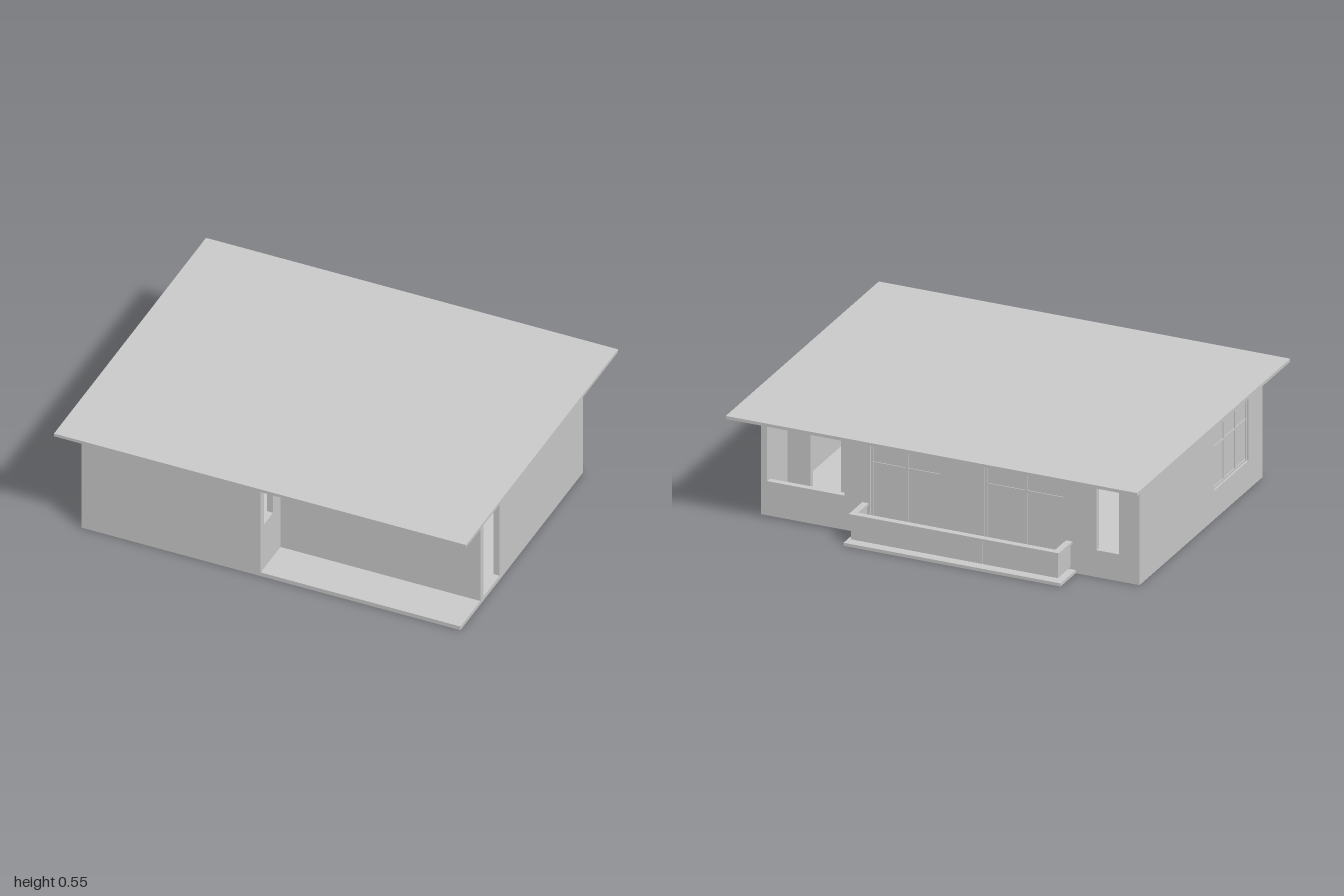
import * as THREE from 'three';

const mat = new THREE.MeshStandardMaterial({ color: 0xcccccc, flatShading: true });
const T = 0.03;                      // wall thickness
const FLOOR = 0.02, CEIL = 0.535;

// Box given by its minimum and maximum corners
function box(name, x0, x1, y0, y1, z0, z1) {
  const mesh = new THREE.Mesh(new THREE.BoxGeometry(x1 - x0, y1 - y0, z1 - z0), mat);
  mesh.position.set((x0 + x1) / 2, (y0 + y1) / 2, (z0 + z1) / 2);
  mesh.name = name;
  return mesh;
}

// Wall in its own plane: u along the wall, y up, depth 0..T; openings are [u0, u1, y0, y1]
function wall(name, u0, u1, openings = [], top = CEIL) {
  const shape = new THREE.Shape([[u0, FLOOR], [u1, FLOOR], [u1, top], [u0, top]].map(p => new THREE.Vector2(...p)));
  for (const [a, b, c, d] of openings) {
    shape.holes.push(new THREE.Path([[a, c], [a, d], [b, d], [b, c]].map(p => new THREE.Vector2(...p))));
  }
  const mesh = new THREE.Mesh(new THREE.ExtrudeGeometry(shape, { depth: T, bevelEnabled: false }), mat);
  mesh.name = name;
  const group = new THREE.Group();
  group.name = name + 'Group';
  group.add(mesh);
  return group;
}

// Glazed window filling an opening: pane, border, upright dividers and a transom
function glazing(name, [a, b, c, d], uprights, transom) {
  const g = new THREE.Group(), w = 0.006, z0 = 0.007, z1 = 0.023;
  g.name = name;
  g.add(box('pane', a, b, c, d, 0.012, 0.018));
  for (const u of [a + w, ...uprights, b - w]) g.add(box('upright', u - w, u + w, c, d, z0, z1));
  for (const y of [c + w, transom, d - w]) g.add(box('crossbar', a, b, y - w, y + w, z0 + 0.001, z1 - 0.001));
  return g;
}

export function createModel() {
  const model = new THREE.Group();
  model.name = 'house';

  // Placing walls facing front or back, by their lower z, and walls facing sideways, by their upper x
  const alongX = (w, z) => { w.position.z = z; model.add(w); };
  const alongZ = (w, x) => { w.rotation.y = -Math.PI / 2; w.position.x = x; model.add(w); };

  // Roof and floor slabs
  model.add(box('roof', -1, 1, CEIL, 0.55, -0.805, 0.805));
  model.add(box('floorSlab', -0.91, 0.93, 0, FLOOR, -0.585, 0.71));

  // Front: projecting room on the right, recessed porch on the left
  alongX(wall('frontWall', -0.91, -0.04), 0.71 - T);
  alongX(wall('porchWall', -0.04, 0.93), 0.5 - T);
  alongZ(wall('porchSideWall', 0.5, 0.71 - T, [[0.58, 0.675, 0.26, 0.44]]), -0.04);

  // Left side with an open doorway
  alongZ(wall('leftWall', -0.585, 0.5 - T, [[0.295, 0.469, FLOOR + 0.002, 0.44]]), 0.93);

  // Right side with a three-part window
  const sideOpening = [0.2, 0.56, 0.14, 0.44];
  const right = wall('rightWall', -0.585 + T, 0.71 - T, [sideOpening]);
  right.add(glazing('sideWindow', sideOpening, [0.32, 0.44], 0.34));
  alongZ(right, -0.91 + T);

  // Back wall with two balcony windows and a narrow opening
  const balconyOpenings = [[0.05, 0.4, 0.03, 0.44], [-0.55, -0.155, 0.03, 0.44]];
  const back = wall('backWall', -0.91, 0.525, [...balconyOpenings, [-0.81, -0.7, 0.13, 0.44]]);
  for (const o of balconyOpenings) back.add(glazing('balconyWindow', o, [(o[0] + o[1]) / 2], 0.345));
  alongX(back, -0.585);

  // Recessed terrace in the back left corner
  alongX(wall('terraceParapet', 0.525, 0.93 - T, [], 0.165), -0.585);
  alongX(wall('terraceWall', 0.525 - T, 0.93 - T, [[0.64, 0.79, FLOOR + 0.002, 0.44]]), -0.37);
  alongZ(wall('terraceSideWall', -0.585 + T, -0.37), 0.525);

  // Balcony: slab, raised panels and a cap rail
  const balcony = new THREE.Group();
  balcony.name = 'balcony';
  balcony.add(box('balconySlab', -0.6, 0.455, 0, 0.015, -0.745, -0.585));
  balcony.add(box('balconyPanel', -0.575, -0.2115, 0.026, 0.14, -0.72, -0.705));
  balcony.add(box('balconyPanel', -0.2085, 0.43, 0.026, 0.14, -0.72, -0.705));
  balcony.add(box('balconyCap', -0.583, 0.438, 0.138, 0.15, -0.728, -0.697));
  for (const [x0, x1] of [[-0.575, -0.56], [0.415, 0.43]]) {
    balcony.add(box('balconyEndPanel', x0, x1, 0.026, 0.14, -0.705, -0.585));
    balcony.add(box('balconyEndCap', x0 - 0.008, x1 + 0.008, 0.138, 0.15, -0.697, -0.585));
  }
  model.add(balcony);

  return model;
}
